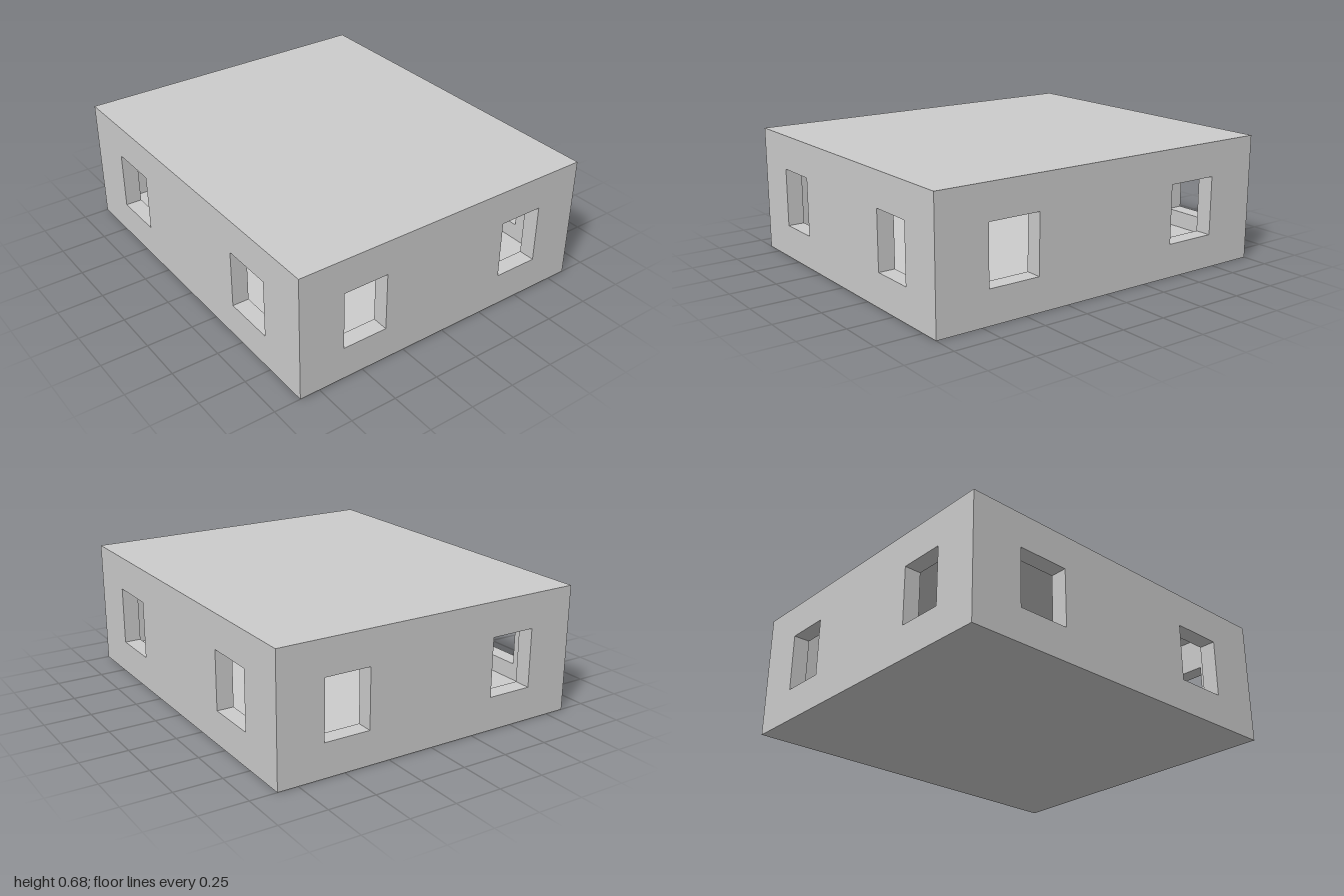
import * as THREE from 'three';

const W = 1.716, D = 2, H = 0.68, T = 0.09, ROOF = 0.005;
const SILL = 0.18, HEAD = 0.495;

const material = new THREE.MeshStandardMaterial({ color: 0xcccccc, flatShading: true });

function rect(path, x0, y0, x1, y1) {
  path.moveTo(x0, y0);
  path.lineTo(x1, y0);
  path.lineTo(x1, y1);
  path.lineTo(x0, y1);
  path.closePath();
  return path;
}

// Wall panel with two mirrored window openings, centred on its own thickness
function wallGeometry(length, inner, outer) {
  const shape = rect(new THREE.Shape(), -length / 2, 0, length / 2, H);
  for (const [a, b] of [[-outer, -inner], [inner, outer]]) {
    shape.holes.push(rect(new THREE.Path(), a, SILL, b, HEAD));
  }
  const geometry = new THREE.ExtrudeGeometry(shape, { depth: T, bevelEnabled: false });
  return geometry.translate(0, 0, -T / 2);
}

export function createModel() {
  const group = new THREE.Group();
  const add = (name, geometry) => {
    const mesh = new THREE.Mesh(geometry, material);
    mesh.name = name;
    group.add(mesh);
    return mesh;
  };

  // Front and back walls run the full width; side walls fit between them
  for (const [s, end, side] of [[1, 'front', 'left'], [-1, 'back', 'right']]) {
    add(end + 'Wall', wallGeometry(W, 0.363, 0.61)).position.z = s * (D - T) / 2;
    const wall = add(side + 'Wall', wallGeometry(D - 2 * T, 0.425, 0.712));
    wall.rotation.y = Math.PI / 2;
    wall.position.x = s * (W - T) / 2;
  }

  // Floor slab and thin roof panel close the shell between the walls
  const slab = (h) => new THREE.BoxGeometry(W - 2 * T, h, D - 2 * T);
  add('floor', slab(T)).position.y = T / 2;
  add('roof', slab(ROOF)).position.y = H - ROOF / 2;

  return group;
}
